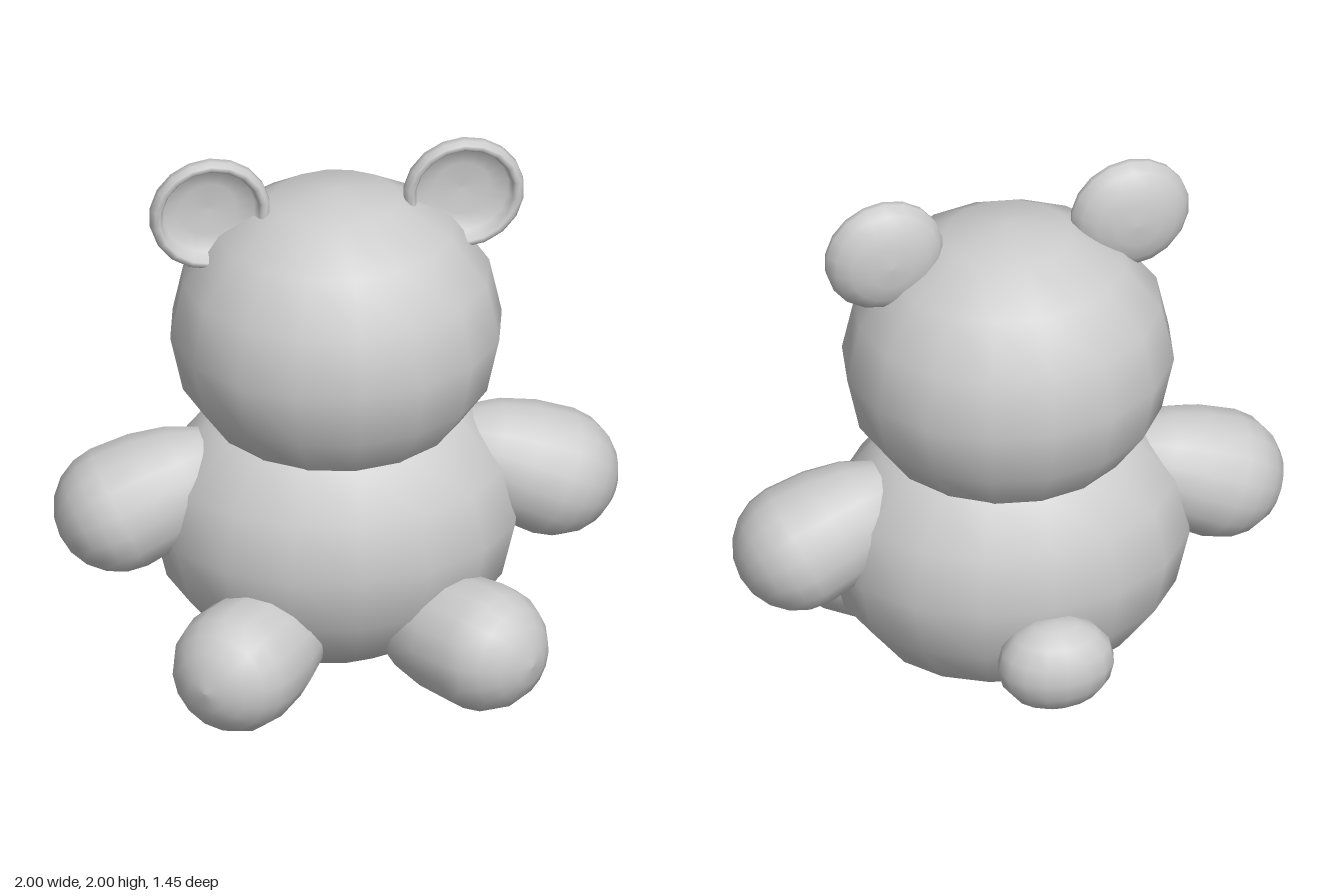
import * as THREE from 'three';

const material = new THREE.MeshStandardMaterial({ color: 0xcccccc });

function addMesh(parent, name, geometry, x, y, z) {
  const mesh = new THREE.Mesh(geometry, material);
  mesh.name = name;
  mesh.position.set(x, y, z);
  parent.add(mesh);
  return mesh;
}

// Ellipsoid with baked radii so the normals stay correct
function ellipsoid(rx, ry, rz, sides = 16) {
  return new THREE.SphereGeometry(1, sides, sides / 2).scale(rx, ry, rz);
}

// Egg along +y: round end of the given radius, long tapering end
function egg(radius, length) {
  const profile = [];
  const steps = 10;
  for (let i = 0; i <= steps; i++) {
    const a = -Math.PI / 2 + (Math.PI * i) / steps;
    const y = Math.sin(a);
    profile.push(new THREE.Vector2(Math.max(0, Math.cos(a)) * radius, y * (y < 0 ? radius : length)));
  }
  return new THREE.LatheGeometry(profile, 16);
}

// Domed back, rolled rim and hollow front, facing +z
function earShell() {
  const profile = [
    [0, -0.092], [0.08, -0.087], [0.145, -0.068], [0.19, -0.037],
    [0.215, 0], [0.213, 0.024], [0.2, 0.04], [0.185, 0.041],
    [0.175, 0.028], [0.163, -0.005], [0.1, -0.022], [0, -0.028],
  ].map(([r, z]) => new THREE.Vector2(r, z));
  return new THREE.LatheGeometry(profile, 18).rotateX(Math.PI / 2);
}

const up = new THREE.Vector3(0, 1, 0);

export function createModel() {
  const model = new THREE.Group();
  model.name = 'teddyBear';

  // Torso, head and tail
  addMesh(model, 'body', ellipsoid(0.65, 0.545, 0.545), 0, 0.55, -0.005);
  addMesh(model, 'head', ellipsoid(0.588, 0.545, 0.545), 0, 1.29, -0.005);
  addMesh(model, 'tail', ellipsoid(0.21, 0.17, 0.16), 0, 0.35, -0.57);

  // Mirrored limbs and ears
  for (const [side, s] of [['left', 1], ['right', -1]]) {
    const arm = addMesh(model, side + 'Arm', egg(0.23, 0.46), s * 0.77, 0.63, -0.005);
    arm.quaternion.setFromUnitVectors(up, new THREE.Vector3(-s * 0.91, 0.41, 0).normalize());

    const leg = addMesh(model, side + 'Leg', egg(0.23, 0.48), s * 0.435, 0.235, 0.495);
    leg.quaternion.setFromUnitVectors(up, new THREE.Vector3(-s * 0.64, 0, -0.77).normalize());

    addMesh(model, side + 'Ear', earShell(), s * 0.45, 1.785, 0);
  }

  return model;
}
